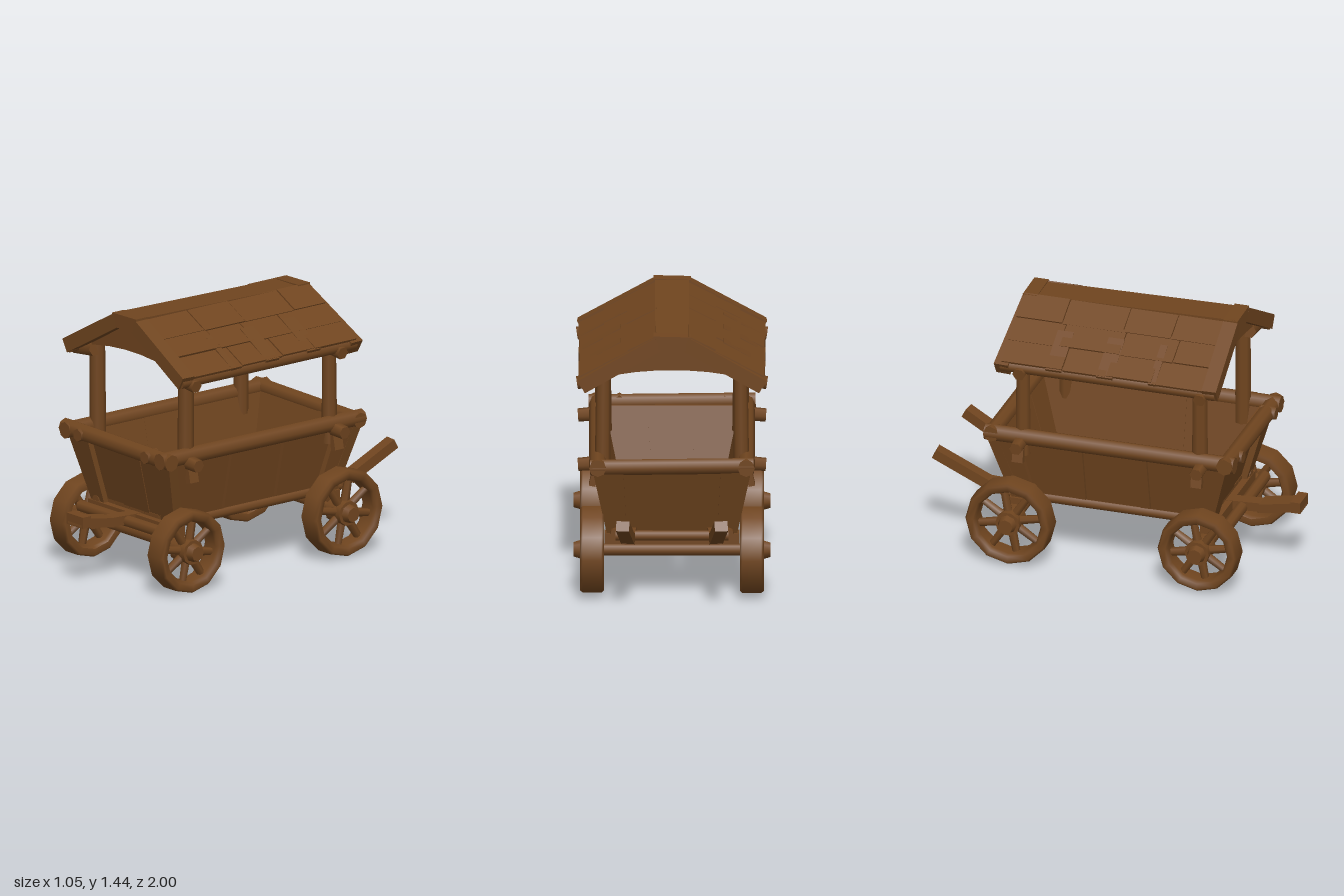
import * as THREE from 'three';

const wood = new THREE.MeshStandardMaterial({ color: 0x70451f });
wood.name = 'brown wood';
const V = (x, y, z) => new THREE.Vector3(x, y, z);

// small seeded generator for the hand-hewn irregularity
let seed = 7;
const rnd = (a) => {
  seed = (seed * 16807) % 2147483647;
  return (seed / 2147483647 - 0.5) * 2 * a;
};

export function createModel() {
  const model = new THREE.Group();
  model.name = 'coveredCart';

  const add = (geo, name, parent = model) => {
    const m = new THREE.Mesh(geo, wood);
    m.name = name;
    parent.add(m);
    return m;
  };

  // round, slightly tapered log from a to b
  const log = (name, a, b, r0, r1 = r0, parent = model, sides = 8) => {
    const m = add(new THREE.CylinderGeometry(r1, r0, a.distanceTo(b), sides), name, parent);
    m.position.copy(a).lerp(b, 0.5);
    m.quaternion.setFromUnitVectors(V(0, 1, 0), b.clone().sub(a).normalize());
    return m;
  };

  // squared beam from a to b, w wide and h high
  const beam = (name, a, b, w, h, parent = model) => {
    const m = add(new THREE.BoxGeometry(w, h, a.distanceTo(b)), name, parent);
    m.position.copy(a).lerp(b, 0.5);
    m.lookAt(b);
    return m;
  };

  // board whose outer face runs between four corners, thickened along d
  const board = (name, bl, br, tr, tl, d) => {
    const g = new THREE.BoxGeometry(1, 1, 1);
    const p = g.attributes.position;
    for (let i = 0; i < p.count; i++) {
      const right = p.getX(i) > 0, up = p.getY(i) > 0;
      const c = (up ? (right ? tr : tl) : (right ? br : bl)).clone();
      if (p.getZ(i) < 0) c.add(d);
      p.setXYZ(i, c.x, c.y, c.z);
    }
    g.computeVertexNormals();
    return add(g, name);
  };

  // ---- flared box body: t runs 0 (floor) to 1 (rim) ----
  const Y = (t) => 0.33 + 0.4 * t;
  const X = (t) => 0.31 + 0.085 * t;
  const ZF = (t) => 0.57 + 0.11 * t;
  const ZB = (t) => -0.51 - 0.125 * t;

  for (let i = 0; i < 5; i++) {
    const x = -0.248 + i * 0.124;
    beam('floorPlank', V(x, 0.345 + rnd(0.005), -0.5), V(x, 0.345, 0.565), 0.118, 0.035);
  }

  // planks, ribs and slanted corner boards on the long sides
  const cuts = [-1, -0.14, 0.22, 1];
  for (const s of [1, -1]) {
    // edges lean by "lean" between floor and rim
    const side = (name, z0, z1, out, t0 = 0, t1 = 1, thick = 0.035, lean = 0) => {
      const c = (z, t) => V(s * (X(t) + out), Y(t), Math.min(ZF(t), Math.max(ZB(t), z + lean * t)));
      const [a, b] = s > 0 ? [z1, z0] : [z0, z1];
      board(name, c(a, t0), c(b, t0), c(b, t1), c(a, t1), V(-s * thick, 0, 0));
    };
    for (let i = 0; i < 3; i++) side('sidePlank', cuts[i], cuts[i + 1], rnd(0.003) - 0.004);
    side('sideRib', 0.19, 0.24, 0.016, 0.12, 0.95);
    side('sideRib', -0.165, -0.12, 0.016, 0.12, 0.95);
    side('sideCorner', 0.45, 1, 0.03, 0.08, 1, 0.06, 0.08);
    side('sideCorner', -1, -0.4, 0.03, 0.08, 1, 0.06, -0.08);
    log('sideSill', V(s * 0.3, 0.345, -0.58), V(s * 0.3, 0.345, 0.6), 0.03);
    for (const z of [0.53, -0.47]) {
      beam('cornerBracket', V(s * 0.405, 0.68, z), V(s * 0.425, 0.59, z), 0.06, 0.035);
    }
  }

  // end panels with wide corner boards
  for (const f of [1, -1]) {
    const Z = f > 0 ? ZF : ZB;
    const end = (name, x0b, x1b, x0t, x1t, out, thick) => {
      const c = (x, t) => V(f * x, Y(t), Z(t) + f * out);
      board(name, c(x0b, 0), c(x1b, 0), c(x1t, 1), c(x0t, 1), V(0, 0, -f * thick));
    };
    for (let i = 0; i < 3; i++) {
      const a = -1 + (i * 2) / 3, b = a + 2 / 3;
      end('endPlank', a * X(0), b * X(0), a * X(1), b * X(1), rnd(0.004) - 0.015, 0.035);
    }
    end('endCorner', -0.345, -0.24, -0.425, -0.26, 0.018, 0.06);
    end('endCorner', 0.24, 0.345, 0.26, 0.425, 0.018, 0.06);
  }

  // top rails and pegs
  for (const s of [1, -1]) {
    log('sideRail', V(s * 0.395, 0.73, -0.66), V(s * 0.395, 0.735, 0.735), 0.046);
    for (const z of [0.55, -0.46]) {
      log('railPeg', V(s * 0.36, 0.71, z), V(s * 0.5, 0.7, z), 0.042, 0.036, model, 6);
      log('roofPeg', V(s * 0.34, 1.17, z + 0.02), V(s * 0.505, 1.145, z + 0.02), 0.042, 0.036, model, 6);
    }
    log('endPeg', V(s * 0.28, 0.735, 0.66), V(s * 0.28, 0.735, 0.745), 0.04, 0.036, model, 6);
  }
  log('frontRail', V(-0.445, 0.74, 0.69), V(0.445, 0.73, 0.69), 0.046);
  log('backRail', V(-0.435, 0.735, -0.62), V(0.435, 0.725, -0.62), 0.043);

  // ---- roof posts ----
  for (const s of [1, -1]) {
    log('post', V(s * 0.365, 0.62, 0.53), V(s * 0.37, 1.23, 0.53), 0.045, 0.041);
    log('post', V(s * 0.37, 0.62, -0.46), V(s * 0.365, 1.23, -0.46), 0.042, 0.037);
  }

  // ---- roof: solid core with a shallow arched ceiling ----
  const roof = new THREE.Group();
  roof.name = 'roof';
  model.add(roof);
  const core = new THREE.Shape();
  core.moveTo(-0.47, 1.16);
  core.lineTo(-0.32, 1.2);
  core.quadraticCurveTo(0, 1.26, 0.32, 1.2);
  core.lineTo(0.47, 1.16);
  core.lineTo(0.48, 1.195);
  core.lineTo(0.085, 1.415);
  core.lineTo(-0.085, 1.415);
  core.lineTo(-0.48, 1.195);
  const coreGeo = new THREE.ExtrudeGeometry(core, { depth: 1.09, bevelEnabled: false, curveSegments: 5 });
  coreGeo.translate(0, 0, -0.5);
  add(coreGeo, 'roofCore', roof);

  // gable frames
  for (const [z, lean, h] of [[0.612, 0.01, 0], [-0.51, -0.03, -0.015]]) {
    for (const s of [1, -1]) {
      beam('gableRafter', V(s * 0.485, 1.172 + h, z + lean), V(s * 0.075, 1.4 + h, z), 0.08, 0.078, roof);
    }
    beam('gableCrown', V(-0.1, 1.4 + h, z), V(0.1, 1.405 + h, z), 0.08, 0.076, roof);
  }

  // overlapping roof boards
  const slope = Math.atan2(0.22, 0.39);
  for (const s of [1, -1]) {
    for (let row = 0; row < 3; row++) {
      let z = -0.545;
      for (let i = 0; i < 4; i++) {
        const len = i === 3 ? 0.6 - z : 0.28 + rnd(0.07);
        const u = 0.085 + row * 0.148;
        const m = add(new THREE.BoxGeometry(0.165 + rnd(0.012), 0.014, len - 0.006), 'roofBoard', roof);
        m.position.set(s * (0.085 + u * Math.cos(slope)), 1.424 - u * Math.sin(slope) + rnd(0.004), z + len / 2);
        m.rotation.z = -s * (slope - 0.04);
        z += len;
      }
    }
    // cross battens over the eaves
    for (const [z, w] of [[-0.25, 0.09], [0.035, 0.09], [0.3, 0.04]]) {
      beam('roofBatten', V(s * 0.492, 1.188, z), V(s * 0.27, 1.318, z), w, 0.025, roof);
    }
    log('eavePole', V(s * 0.46, 1.172, -0.55), V(s * 0.46, 1.172, 0.65), 0.036, 0.036, roof);
  }
  beam('ridgeBoard', V(0, 1.408, -0.53), V(0, 1.428, 0.63), 0.18, 0.022, roof);

  // ---- wheels, mirrored left to right ----
  const wheel = (name, s, y, z, r) => {
    const g = new THREE.Group();
    g.name = name;
    g.position.set(s * 0.425, y, z);
    g.rotation.z = -s * Math.PI / 2;
    model.add(g);
    const rim = [[r - 0.045, -0.06], [r - 0.012, -0.064], [r, -0.05], [r, 0.05],
      [r - 0.012, 0.064], [r - 0.045, 0.06], [r - 0.058, 0.04], [r - 0.058, -0.04], [r - 0.045, -0.06]];
    add(new THREE.LatheGeometry(rim.map((p) => new THREE.Vector2(...p)), 12), 'rim', g);
    for (let i = 0; i < 8; i++) {
      const a = (i / 8) * Math.PI * 2 + 0.2, c = s * Math.cos(a), n = Math.sin(a);
      log('spoke', V(c * 0.03, 0.01, n * 0.03), V(c * (r - 0.045), 0.01, n * (r - 0.045)), 0.026, 0.021, g, 6);
    }
    log('hub', V(0, -0.06, 0), V(0, 0.06, 0), 0.068, 0.068, g, 10);
    log('hubCap', V(0, 0.05, 0), V(0, 0.098, 0), 0.055, 0.04, g);
  };
  wheel('frontLeftWheel', 1, 0.225, 0.575, 0.225);
  wheel('frontRightWheel', -1, 0.228, 0.55, 0.222);
  wheel('backLeftWheel', 1, 0.243, -0.5, 0.238);
  wheel('backRightWheel', -1, 0.243, -0.51, 0.238);

  // axles and cross beams
  for (const [z, y] of [[0.565, 0.232], [-0.505, 0.243]]) {
    log('axle', V(-0.42, y, z), V(0.42, y, z), 0.033);
    beam('crossBeam', V(-0.36, 0.312, z), V(0.36, 0.312, z), 0.075, 0.06);
  }
  log('frontBumper', V(-0.36, 0.312, 0.655), V(0.36, 0.316, 0.655), 0.032);

  // tongue at the front, two raised shafts at the back
  beam('tongue', V(0, 0.318, 0.56), V(0, 0.328, 0.79), 0.075, 0.05);
  beam('tongue', V(0, 0.328, 0.76), V(0, 0.37, 0.99), 0.11, 0.05);
  beam('tongueEnd', V(-0.068, 0.37, 0.965), V(0.068, 0.37, 0.965), 0.055, 0.062);
  for (const s of [1, -1]) {
    beam('shaftRoot', V(s * 0.22, 0.335, -0.46), V(s * 0.235, 0.355, -0.73), 0.065, 0.05);
    beam('shaft', V(s * 0.233, 0.35, -0.7), V(s * 0.262, 0.5, -0.985), 0.07, 0.055);
  }
  log('shaftBar', V(-0.3, 0.345, -0.6), V(0.3, 0.345, -0.6), 0.028);

  return model;
}
